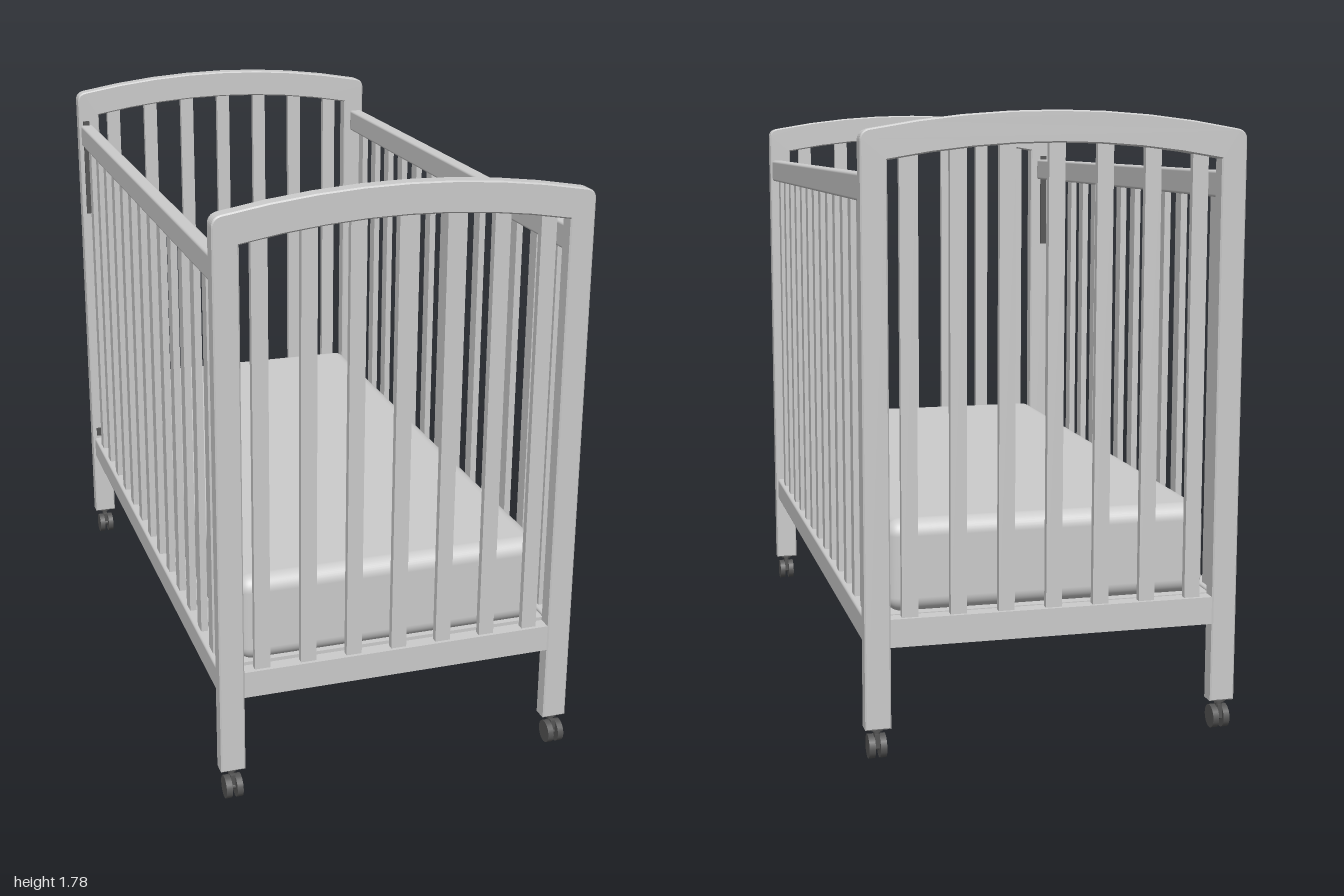
import * as THREE from 'three';
import { RoundedBoxGeometry } from 'three/addons/geometries/RoundedBoxGeometry.js';

export function createModel() {
  const crib = new THREE.Group();
  crib.name = 'crib';
  const grey = new THREE.MeshStandardMaterial({ color: 0xcccccc });
  const dark = new THREE.MeshStandardMaterial({ color: 0x555555 });

  const add = (name, geometry, x, y, z, material = grey, parent = crib) => {
    const mesh = new THREE.Mesh(geometry, material);
    mesh.name = name;
    mesh.position.set(x, y, z);
    parent.add(mesh);
    return mesh;
  };
  // Box given by its size and centre
  const box = (name, w, h, d, x, y, z, material, parent) =>
    add(name, new THREE.BoxGeometry(w, h, d), x, y, z, material, parent);
  // Box with softened edges
  const softBox = (name, w, h, d, x, y, z, r = 0.008) =>
    add(name, new RoundedBoxGeometry(w, h, d, 2, r), x, y, z);

  const midZ = -0.01;   // middle of the frame
  const endZ = 0.965;   // middle of each end frame, measured from midZ

  // Posts joined by an arched top, cut as one outline
  const frame = new THREE.Shape();
  frame.moveTo(-0.543, 0.09);
  frame.lineTo(-0.543, 1.7);
  frame.quadraticCurveTo(-0.543, 1.728, -0.515, 1.733);
  frame.quadraticCurveTo(0, 1.833, 0.515, 1.733);
  frame.quadraticCurveTo(0.543, 1.728, 0.543, 1.7);
  frame.lineTo(0.543, 0.09);
  frame.lineTo(0.47, 0.09);
  frame.lineTo(0.47, 1.65);
  frame.quadraticCurveTo(0, 1.74, -0.47, 1.65);
  frame.lineTo(-0.47, 0.09);
  const frameGeometry = new THREE.ExtrudeGeometry(frame, {
    depth: 0.042, curveSegments: 8, bevelEnabled: true,
    bevelThickness: 0.004, bevelSize: 0.004, bevelOffset: -0.004, bevelSegments: 1,
  });
  frameGeometry.translate(0, 0, -0.021);

  for (const s of [1, -1]) {
    const z = midZ + s * endZ;
    add('endFrame', frameGeometry, 0, 0, z);
    box('endBottomRail', 0.95, 0.08, 0.042, 0, 0.362, z);
    for (let i = -3; i <= 3; i++) {
      const x = i * 0.1375;
      const top = 1.69 - 0.045 * (x / 0.47) ** 2;
      box('endSlat', 0.046, top + 0.015 - 0.39, 0.02, x, (top + 0.015 + 0.39) / 2, z);
    }
  }

  // Long sides: rails, slats and the ledge under the bed base
  for (const s of [1, -1]) {
    const x = s * 0.515;
    softBox('sideTopRail', 0.044, 0.075, 1.885, x, 1.578, midZ);
    softBox('sideBottomRail', 0.044, 0.078, 1.885, x, 0.361, midZ);
    box('baseLedge', 0.026, 0.025, 1.885, s * 0.483, 0.343, midZ);
    for (let i = -6; i <= 6; i++) {
      box('sideSlat', 0.02, 1.16, 0.045, x, 0.97, -0.02 + i * 0.139);
    }
  }

  // Guide strips and lower stops of the sliding side
  for (const s of [1, -1]) {
    const z = midZ + s * 0.938;
    box('slideGuide', 0.022, 0.34, 0.01, -0.518, 1.46, z, dark);
    box('slideStop', 0.022, 0.03, 0.01, -0.518, 0.425, z, dark);
  }

  // Slatted bed base
  const count = 14, pitch = 1.87 / count;
  for (let i = 0; i < count; i++) {
    box('baseSlat', 0.975, 0.025, pitch * 0.7, 0, 0.383, midZ + (i - (count - 1) / 2) * pitch);
  }

  // Mattress
  add('mattress', new RoundedBoxGeometry(0.936, 0.265, 1.87, 5, 0.045), 0, 0.532, midZ);

  // Twin-wheel casters, all trailing the same way
  const wheelGeometry = new THREE.CylinderGeometry(0.034, 0.034, 0.018, 20);
  wheelGeometry.rotateZ(Math.PI / 2);
  const axleGeometry = new THREE.CylinderGeometry(0.012, 0.012, 0.04, 10);
  axleGeometry.rotateZ(Math.PI / 2);
  for (const sx of [1, -1]) for (const sz of [1, -1]) {
    const caster = new THREE.Group();
    caster.name = 'caster';
    caster.position.set(sx * 0.507, 0, midZ + sz * endZ);
    crib.add(caster);
    add('casterStem', new THREE.CylinderGeometry(0.009, 0.009, 0.05, 10), 0, 0.075, 0, dark, caster);
    add('casterPlate', new THREE.CylinderGeometry(0.018, 0.018, 0.008, 12), 0, 0.087, 0, dark, caster);
    box('casterBody', 0.014, 0.04, 0.03, 0, 0.052, 0.005, dark, caster);
    add('casterAxle', axleGeometry, 0, 0.034, 0.01, dark, caster);
    for (const w of [1, -1]) add('casterWheel', wheelGeometry, w * 0.016, 0.034, 0.01, dark, caster);
  }

  return crib;
}
